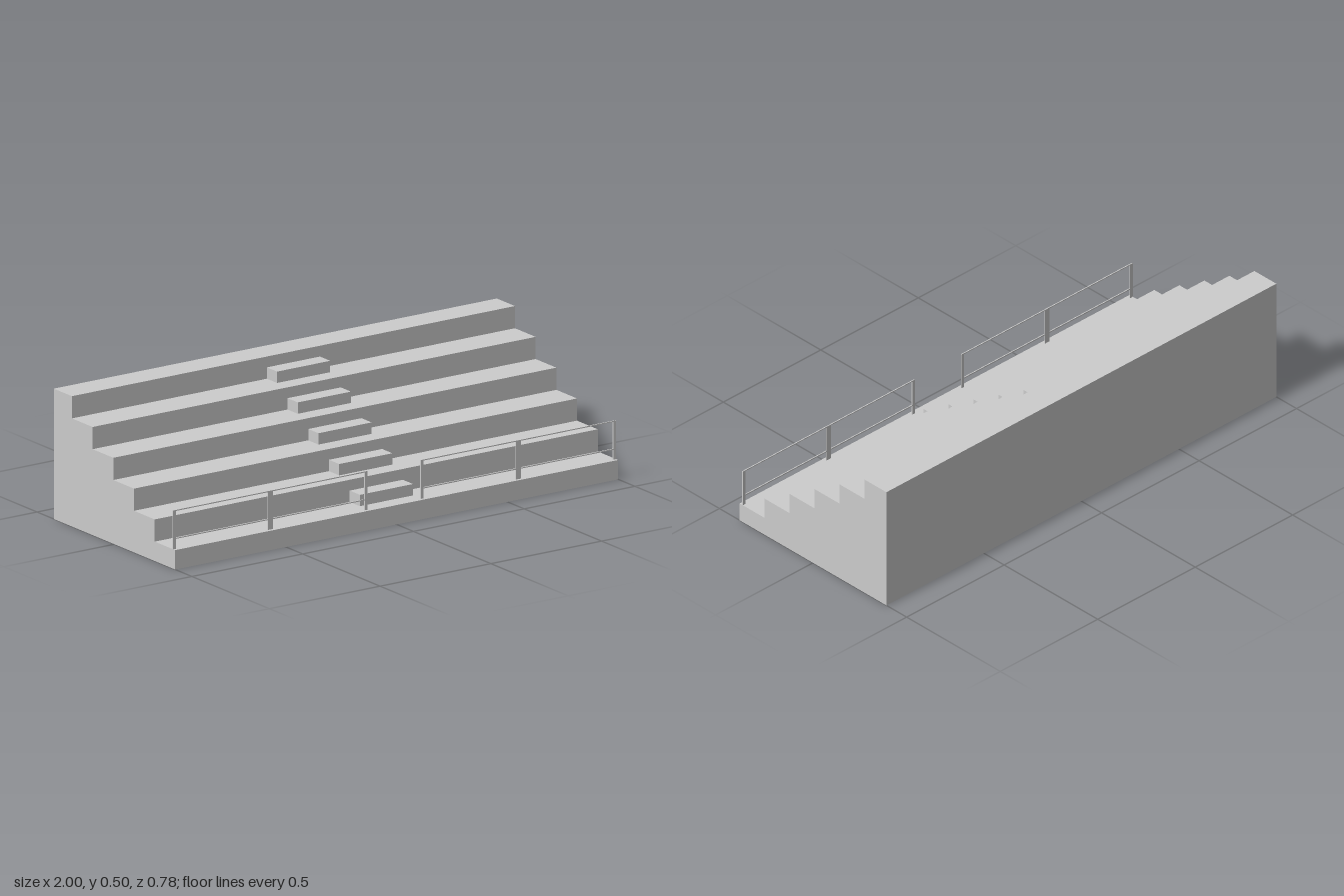
import * as THREE from 'three';

export function createModel() {
  const model = new THREE.Group();
  const concrete = new THREE.MeshStandardMaterial({ color: 0xcccccc });
  concrete.name = 'light grey';

  // Box given by its minimum and maximum corners
  function box(name, min, max, parent = model) {
    const size = max.map((v, i) => v - min[i]);
    const mesh = new THREE.Mesh(new THREE.BoxGeometry(...size), concrete);
    mesh.position.set(...max.map((v, i) => (v + min[i]) / 2));
    mesh.name = name;
    parent.add(mesh);
  }

  const tiers = 6, front = 0.392, back = -0.392;
  const rise = 0.0858, base = 0.075;
  const tierFront = i => (i === 0 ? front : 0.26 - (i - 1) * 0.1337);
  const tierTop = i => base + i * rise;

  // Terraces: stepped side profile extruded across the width
  const profile = new THREE.Shape();
  profile.moveTo(back, 0);
  profile.lineTo(front, 0);
  for (let i = 0; i < tiers; i++) {
    profile.lineTo(tierFront(i), tierTop(i));
    profile.lineTo(i < tiers - 1 ? tierFront(i + 1) : back, tierTop(i));
  }
  profile.closePath();
  const geometry = new THREE.ExtrudeGeometry(profile, { depth: 2, bevelEnabled: false });
  geometry.translate(0, 0, -1);
  geometry.rotateY(-Math.PI / 2); // profile x becomes z
  const terraces = new THREE.Mesh(geometry, concrete);
  terraces.name = 'terraces';
  model.add(terraces);

  // Half-height aisle steps between the terraces
  for (let i = 1; i < tiers; i++) {
    const z = tierFront(i);
    box('aisleStep', [-0.12, tierTop(i - 1), z], [0.12, tierTop(i - 1) + rise / 2 + 0.001, z + 0.066]);
  }

  // Front railings on both sides of the aisle
  const z0 = 0.375, z1 = 0.379, top = 0.225;
  for (const [name, x0, x1] of [['rightRailing', -1, -0.122], ['leftRailing', 0.118, 1]]) {
    const railing = new THREE.Group();
    railing.name = name;
    model.add(railing);
    const mid = (x0 + x1) / 2;
    for (const [a, b] of [[x0, x0 + 0.013], [mid - 0.011, mid + 0.011], [x1 - 0.013, x1]])
      box('railPost', [a, base, z0], [b, top, z1], railing);
    for (const y of [0.115, top - 0.002])
      box('handRail', [x0, y - 0.002, z0], [x1, y + 0.002, z1], railing);
  }
  return model;
}
